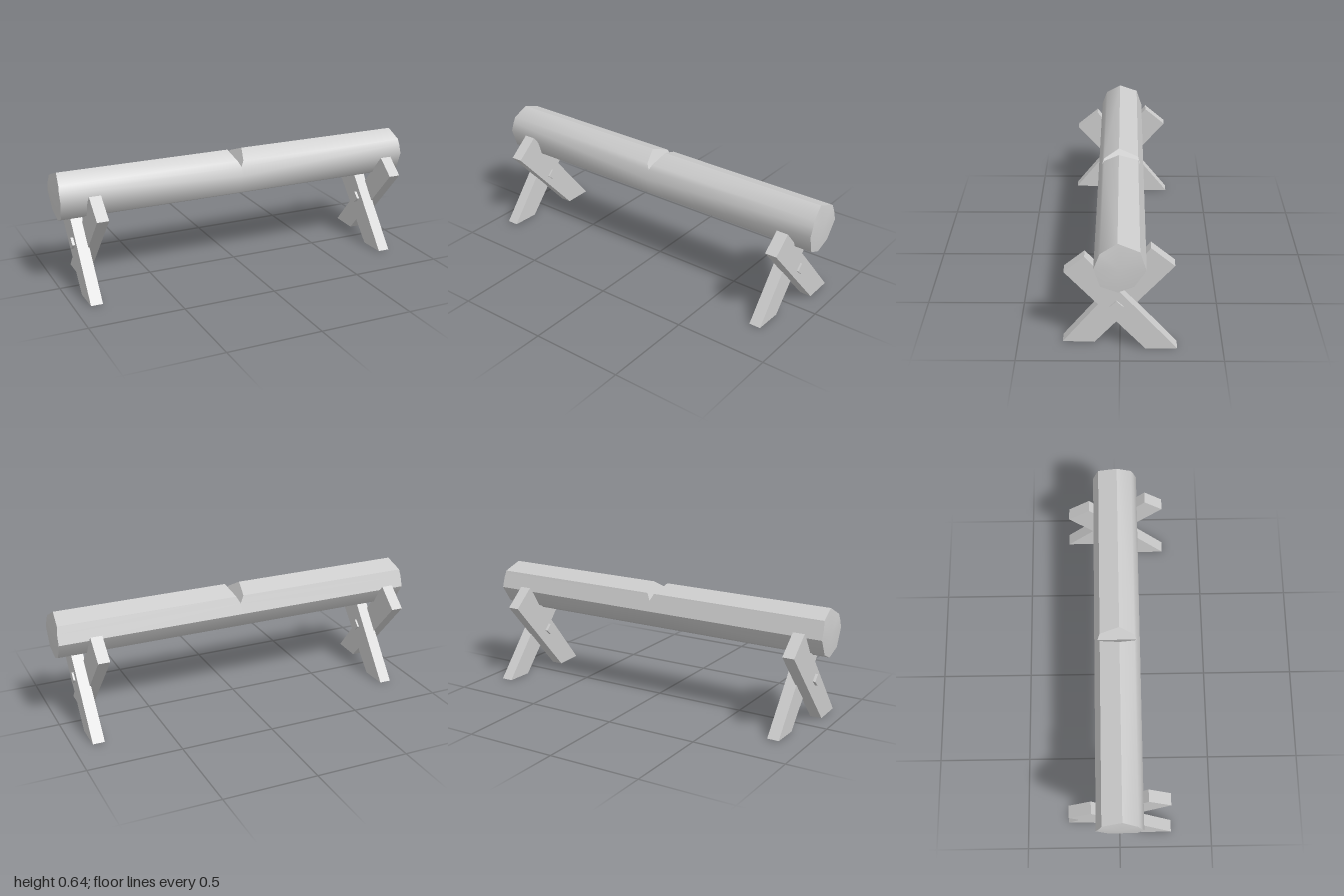
import * as THREE from 'three';
import { toCreasedNormals } from 'three/addons/utils/BufferGeometryUtils.js';

const wood = new THREE.MeshStandardMaterial({ color: 0xcccccc });
wood.name = 'pale grey wood';

// Log cross-section as [z, y, end x], from the ridge over the front, the bottom and the back.
// The points at NOTCH_Y lie on the facets where the notch runs out.
const NOTCH_Y = 0.56, RIDGE_Y = 0.637, NOTCH_HALF = 0.042;
const RING = [
  [0.01, RIDGE_Y, 0.985], [0.09, 0.59, 0.997], [0.102, NOTCH_Y, 1], [0.12, 0.513, 1],
  [0.09, 0.415, 0.995], [0.01, 0.38, 0.99], [-0.067, 0.415, 0.995], [-0.123, 0.505, 1],
  [-0.105, NOTCH_Y, 1], [-0.093, 0.598, 0.995],
];

function logGeometry() {
  const positions = [];
  for (const side of [1, -1]) {
    const tri = (a, b, c) => {
      for (const p of side > 0 ? [a, b, c] : [a, c, b]) positions.push(p[0] * side, p[1], p[2]);
    };
    const outer = RING.map(([z, y, x]) => [x, y, z]);
    // inner ring opens out above the notch floor
    const inner = RING.map(([z, y]) =>
      [NOTCH_HALF * Math.max(0, (y - NOTCH_Y) / (RIDGE_Y - NOTCH_Y)), y, z]);
    const centre = [1, 0.508, 0];
    for (let i = 0; i < RING.length; i++) {
      const j = (i + 1) % RING.length;
      tri(outer[i], inner[i], inner[j]);
      tri(outer[i], inner[j], outer[j]);
      tri(centre, outer[i], outer[j]);
    }
    // sloping face of the notch
    const face = [2, 1, 0, 9, 8].map((i) => inner[i]);
    for (let i = 1; i < 4; i++) tri(face[0], face[i], face[i + 1]);
  }
  const g = new THREE.BufferGeometry();
  g.setAttribute('position', new THREE.Float32BufferAttribute(positions, 3));
  return toCreasedNormals(g, THREE.MathUtils.degToRad(49.5));
}

// Plank with its outline in the z-y plane, from x0 to x1
function plank(name, outline, x0, x1) {
  const shape = new THREE.Shape(outline.map(([z, y]) => new THREE.Vector2(z, y)));
  const g = new THREE.ExtrudeGeometry(shape, { depth: x1 - x0, bevelEnabled: false });
  g.rotateY(-Math.PI / 2).translate(x1, 0, 0);
  const mesh = new THREE.Mesh(g, wood);
  mesh.name = name;
  return mesh;
}

// Crossed pair of legs held by a square peg
function trestle(name, x, frontTop) {
  const group = new THREE.Group();
  group.name = name;
  group.add(
    plank('frontTopLeg', [[0.263, 0.435], frontTop, [-0.278, 0.004], [-0.125, 0.001]], -0.003, 0.06),
    plank('backTopLeg', [[-0.261, 0.435], [-0.146, 0.532], [0.28, 0.004], [0.125, 0]], -0.06, 0.003),
    plank('peg', [[0.016, 0.28], [-0.017, 0.248], [0.016, 0.217], [0.048, 0.248]], -0.074, 0.07),
  );
  group.position.x = x;
  return group;
}

export function createModel() {
  const model = new THREE.Group();
  model.name = 'notchedLogOnTrestles';
  const log = new THREE.Mesh(logGeometry(), wood);
  log.name = 'notchedLog';
  model.add(
    log,
    trestle('leftTrestle', 0.841, [0.165, 0.517]),
    trestle('rightTrestle', -0.858, [0.146, 0.532]),
  );
  return model;
}
